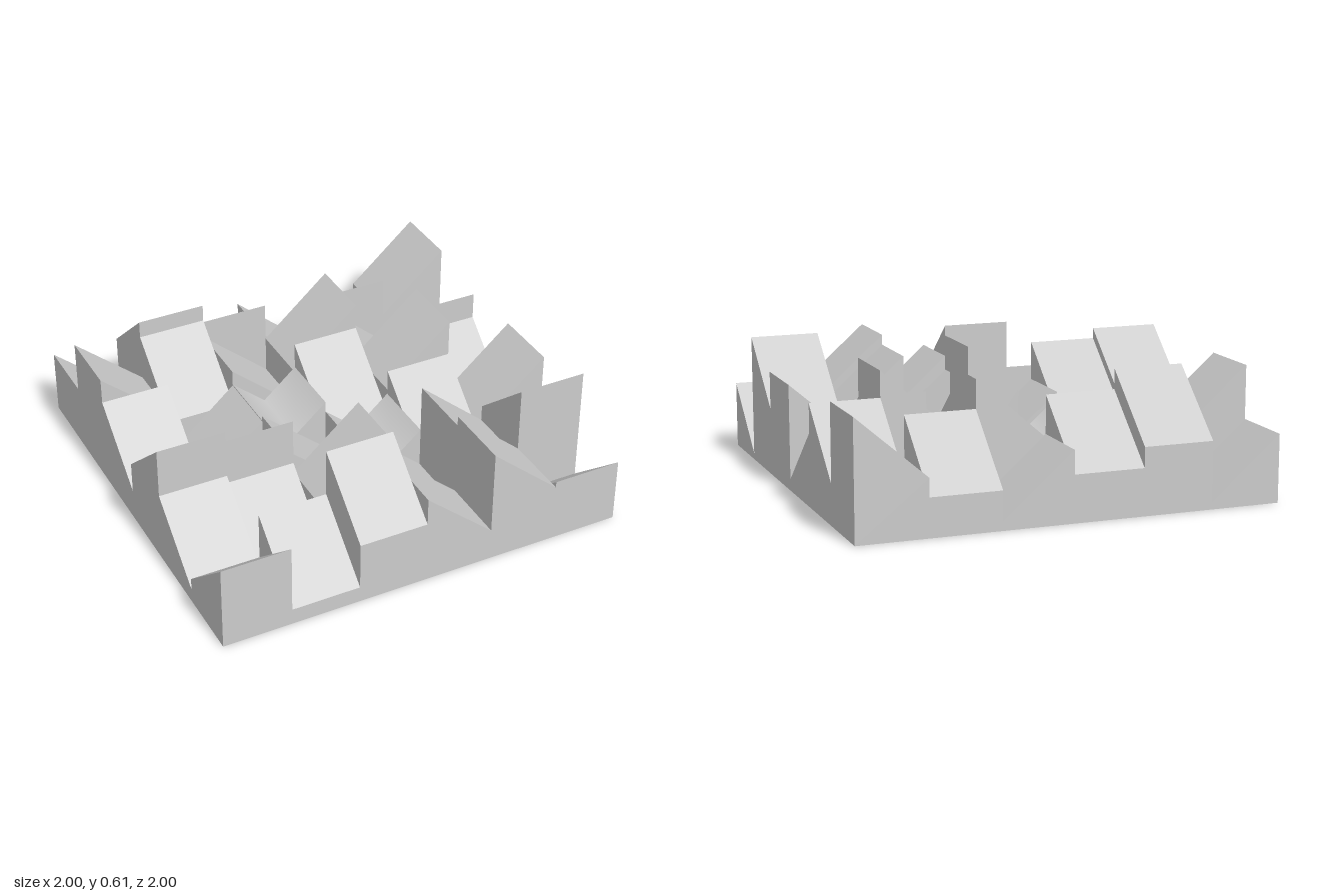
import * as THREE from 'three';

const N = 6, CELL = 2 / N, RISE = 0.29;

// Direction each tile's top faces: F front, B back, L +x, R -x, V valley
const FACING = [
  'LBBLBR',
  'LFLRLB',
  'FRVFRF',
  'BBLVFR',
  'FFRLLB',
  'BFFLLB',
];

// Lowest height of each tile's top
const LOW = [
  [0.03, 0.315, 0.22, 0.04, 0.18, 0.265],
  [0.285, 0.23, 0.13, 0.315, 0.105, 0.19],
  [0.16, 0.05, 0.20, 0.185, 0.315, 0.055],
  [0.315, 0.265, 0.08, 0.145, 0.13, 0.21],
  [0.07, 0.03, 0.265, 0.09, 0.24, 0.32],
  [0.13, 0.08, 0.315, 0.16, 0.29, 0.03],
];

// Share of the rise at a point of the tile, u and v from -0.5 to 0.5
const SLOPES = {
  F: (u, v) => 0.5 - v,
  B: (u, v) => 0.5 + v,
  L: (u) => 0.5 - u,
  R: (u) => 0.5 + u,
  V: (u) => Math.abs(u),
};

// Block whose top corners are lifted along the slope; the valley gets a middle crease
function tileGeometry(facing, low) {
  const geometry = new THREE.BoxGeometry(CELL, 1, CELL, facing === 'V' ? 2 : 1, 1, 1);
  const p = geometry.attributes.position;
  for (let i = 0; i < p.count; i++) {
    const share = SLOPES[facing](p.getX(i) / CELL, p.getZ(i) / CELL);
    p.setY(i, p.getY(i) > 0 ? low + RISE * share : 0);
  }
  geometry.computeVertexNormals();
  return geometry;
}

export function createModel() {
  const model = new THREE.Group();
  model.name = 'slantedTileRelief';
  const material = new THREE.MeshStandardMaterial({ color: 0xcccccc });

  for (let row = 0; row < N; row++) {
    for (let col = 0; col < N; col++) {
      const facing = FACING[row][col];
      const tile = new THREE.Mesh(tileGeometry(facing, LOW[row][col]), material);
      tile.name = facing === 'V' ? 'valleyTile' : 'slantedTile';
      tile.position.set((col + 0.5) * CELL - 1, 0, (row + 0.5) * CELL - 1);
      model.add(tile);
    }
  }
  return model;
}
